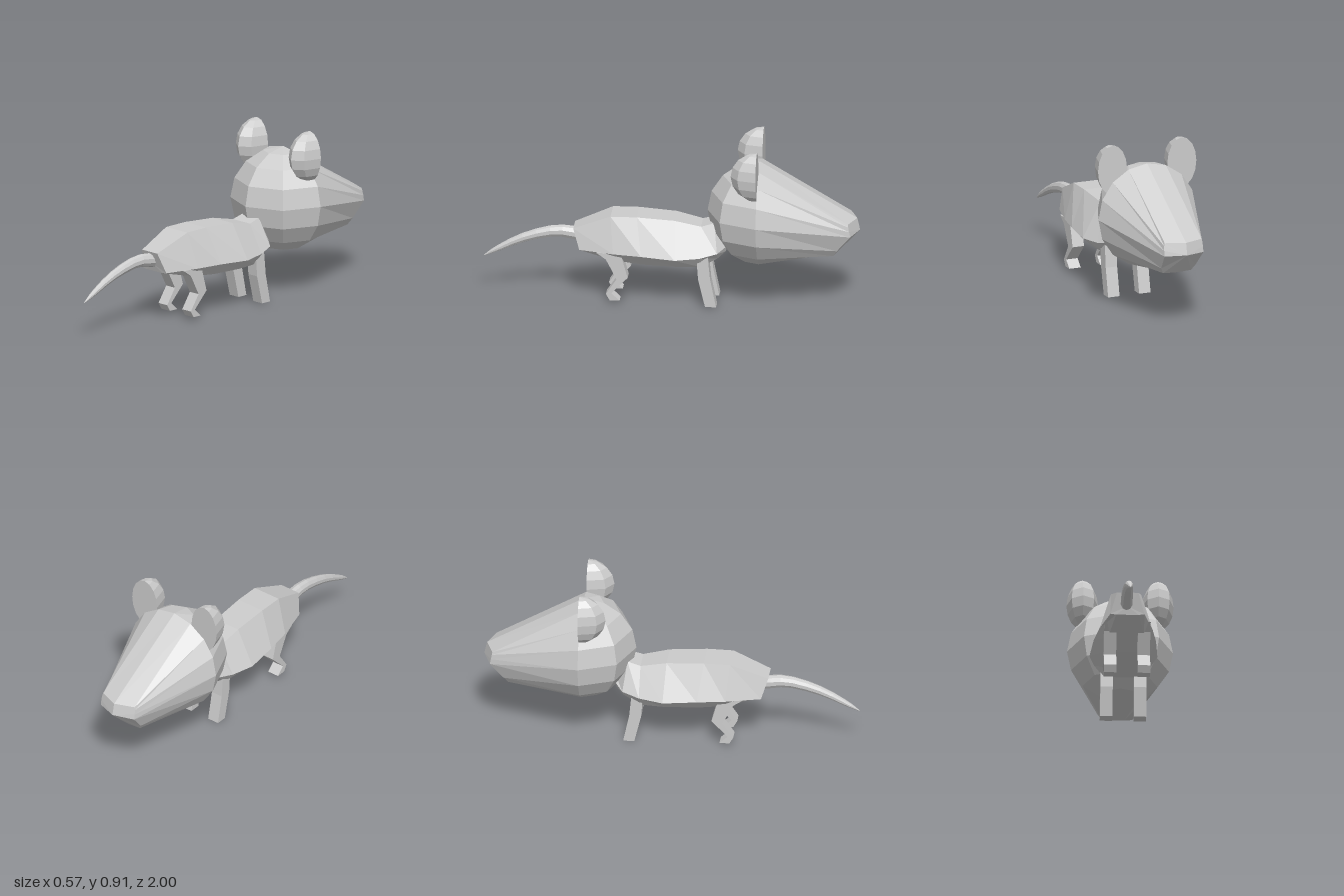
import * as THREE from 'three';

const fur = new THREE.MeshStandardMaterial({ color: 0xcccccc });
fur.name = 'paleGrey';
fur.flatShading = true;

// Skin between closed rings listed by rising z; each ring runs from the top towards +x, then down.
function loft(rings, startPoint) {
  const n = rings[0].length;
  const pos = [];
  const tri = (a, b, c) => pos.push(...a, ...b, ...c);
  const middle = (r) => [0, 1, 2].map((k) => r.reduce((s, p) => s + p[k], 0) / n);
  const last = rings[rings.length - 1];
  const first = startPoint || middle(rings[0]);
  const end = middle(last);
  for (let j = 0; j < n; j++) {
    const k = (j + 1) % n;
    tri(first, rings[0][j], rings[0][k]);
    tri(end, last[k], last[j]);
    for (let i = 0; i + 1 < rings.length; i++) {
      const a = rings[i], b = rings[i + 1];
      tri(a[j], b[j], a[k]);
      tri(a[k], b[j], b[k]);
    }
  }
  const g = new THREE.BufferGeometry();
  g.setAttribute('position', new THREE.Float32BufferAttribute(pos, 3));
  g.computeVertexNormals();
  return g;
}

// Completes a half ring given from top centre to bottom centre
function mirrorRing(half) {
  const other = half.slice(1, -1).reverse().map(([x, y, z]) => [-x, y, z]);
  return [...half, ...other];
}

function add(parent, name, geometry) {
  const mesh = new THREE.Mesh(geometry, fur);
  mesh.name = name;
  parent.add(mesh);
  return mesh;
}

// Leg outline in (z, y), extruded across x
function legGeometry(points, width) {
  const shape = new THREE.Shape(points.map(([z, y]) => new THREE.Vector2(-z, y)));
  const g = new THREE.ExtrudeGeometry(shape, { depth: width, bevelEnabled: false });
  g.translate(0, 0, -width / 2);
  g.rotateY(Math.PI / 2);
  return g;
}

export function createModel() {
  const model = new THREE.Group();
  model.name = 'mouse';

  // Head: round half sphere behind, snout tapering towards -z
  const head = new THREE.Group();
  head.name = 'head';
  model.add(head);
  const R = 0.281, headY = 0.504, headZ = -0.47;
  const skull = add(head, 'skull', new THREE.SphereGeometry(R, 4, 8, 0, Math.PI));
  skull.position.set(0, headY, headZ);

  const cheek = [];
  for (let i = 0; i <= 8; i++) {
    const a = (i * Math.PI) / 8;
    cheek.push([R * Math.sin(a), headY + R * Math.cos(a), headZ]);
  }
  const noseRim = [
    [0, 0.485, -0.985], [0.106, 0.485, -0.945], [0.11, 0.47, -0.947],
    [0.112, 0.445, -0.952], [0.112, 0.415, -0.957], [0.1, 0.33, -0.885],
    [0.08, 0.295, -0.865], [0.04, 0.294, -0.868], [0, 0.293, -0.87],
  ];
  add(head, 'snout', loft([mirrorRing(noseRim), mirrorRing(cheek)], [0, 0.42, -1]));

  // Ears: half ellipsoids with a flat face towards the nose
  for (const side of [1, -1]) {
    const ear = new THREE.Group();
    ear.name = side > 0 ? 'leftEar' : 'rightEar';
    ear.position.set(side * 0.2, 0.77, headZ);
    ear.scale.set(0.084, 0.136, 0.14);
    add(ear, 'earBack', new THREE.SphereGeometry(1, 4, 8, 0, Math.PI));
    add(ear, 'earFace', new THREE.CircleGeometry(1, 16).rotateY(Math.PI));
    head.add(ear);
  }

  // Body: six-sided sections [z, topX, topY, sideX, sideY, bottomX, bottomY, sideZ]
  const sections = [
    [-0.29, 0.04, 0.34, 0.07, 0.32, 0.05, 0.29, -0.29],
    [-0.23, 0.06, 0.45, 0.125, 0.3, 0.08, 0.26, -0.25],
    [-0.16, 0.065, 0.43, 0.15, 0.28, 0.1, 0.215, -0.16],
    [-0.02, 0.075, 0.462, 0.18, 0.275, 0.11, 0.215, -0.03],
    [0.18, 0.08, 0.476, 0.165, 0.285, 0.105, 0.22, 0.15],
    [0.32, 0.08, 0.475, 0.14, 0.285, 0.095, 0.235, 0.3],
    [0.52, 0.057, 0.393, 0.09, 0.285, 0.06, 0.28, 0.485],
  ];
  const bodyRings = sections.map(([z, tx, ty, sx, sy, bx, by, sz]) => mirrorRing([
    [0, ty, z], [tx, ty, z], [sx, sy, sz], [bx, by, sz], [0, by, sz],
  ]));
  add(model, 'body', loft(bodyRings));

  // Legs
  const front = legGeometry([
    [-0.14, 0.3], [-0.15, 0.155], [-0.187, 0], [-0.246, 0], [-0.214, 0.155], [-0.2, 0.3],
  ], 0.066);
  const hind = legGeometry([
    [0.39, 0.285], [0.34, 0.25], [0.283, 0.14], [0.34, 0.055], [0.32, 0.02],
    [0.267, 0.02], [0.31, 0.06], [0.224, 0.15], [0.262, 0.285],
  ], 0.066);
  for (const side of [1, -1]) {
    const label = side > 0 ? 'left' : 'right';
    const x = 0.005 + side * 0.0895;
    add(model, label + 'FrontLeg', front).position.x = x;
    add(model, label + 'HindLeg', hind).position.x = x;
  }

  // Tail: round tube that droops and narrows to a point
  const tailPath = new THREE.CatmullRomCurve3([
    [0.48, 0.34], [0.61, 0.355], [0.79, 0.31], [0.94, 0.236], [1, 0.202],
  ].map(([z, y]) => new THREE.Vector3(-0.005, y, z)));
  const tailRings = [];
  for (let i = 0; i <= 10; i++) {
    const t = i / 10;
    const p = tailPath.getPoint(t), d = tailPath.getTangent(t);
    const r = 0.036 * (1 - Math.pow(t, 1.5)) + 0.002;
    const ring = [];
    for (let j = 0; j < 10; j++) {
      const a = (j * Math.PI) / 5;
      const up = r * Math.cos(a);
      ring.push([p.x + 0.88 * r * Math.sin(a), p.y + up * d.z, p.z - up * d.y]);
    }
    tailRings.push(ring);
  }
  add(model, 'tail', loft(tailRings));

  return model;
}
